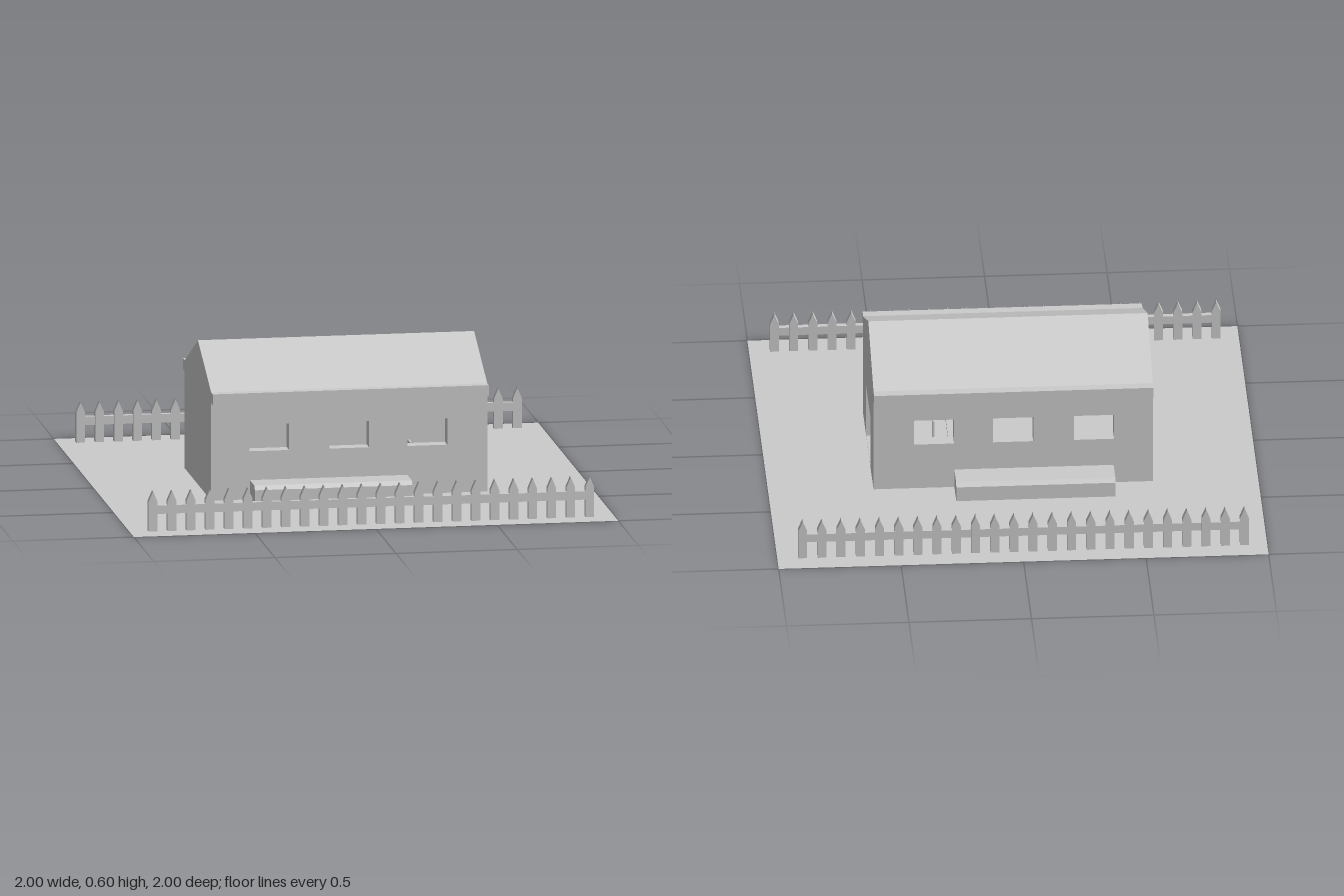
import * as THREE from 'three';

const material = new THREE.MeshStandardMaterial({ color: 0xcccccc, flatShading: true });
const thinMaterial = new THREE.MeshStandardMaterial({ color: 0xcccccc, side: THREE.DoubleSide });

function add(parent, name, geometry, x = 0, y = 0, z = 0, mat = material) {
  const mesh = new THREE.Mesh(geometry, mat);
  mesh.name = name;
  mesh.position.set(x, y, z);
  parent.add(mesh);
  return mesh;
}

// Box given by its extents along each axis
function box(parent, name, x0, x1, y0, y1, z0, z1) {
  return add(parent, name, new THREE.BoxGeometry(x1 - x0, y1 - y0, z1 - z0),
    (x0 + x1) / 2, (y0 + y1) / 2, (z0 + z1) / 2);
}

const polygon = (points) => new THREE.Shape(points.map(([x, y]) => new THREE.Vector2(x, y)));
const extrude = (shape, depth) => new THREE.ExtrudeGeometry(shape, { depth, bevelEnabled: false });

// Profile drawn in (z, y), extruded along x from x0 to x1
function alongX(parent, name, points, x0, x1) {
  const shape = polygon(points.map(([z, y]) => [-z, y]));
  const geometry = extrude(shape, x1 - x0).rotateY(Math.PI / 2);
  return add(parent, name, geometry, x0);
}

const L = 0.57, W = 0.33, T = 0.06, WALL_TOP = 0.405;

function createHouse() {
  const house = new THREE.Group();
  house.name = 'house';

  // Long walls, each with three window openings
  const wall = polygon([[-L, 0], [L, 0], [L, WALL_TOP], [-L, WALL_TOP]]);
  for (const x of [-0.33, 0, 0.323]) {
    const a = x - 0.082, b = x + 0.082;
    wall.holes.push(new THREE.Path([[a, 0.2], [a, 0.31], [b, 0.31], [b, 0.2]]
      .map(([u, v]) => new THREE.Vector2(u, v))));
  }
  add(house, 'frontWall', extrude(wall, T), 0, 0, W - T);
  add(house, 'backWall', extrude(wall, T), 0, 0, -W);

  // End walls: closed at one end, wide doorway at the other
  const inner = W - T, door = 0.137;
  box(house, 'closedEndWall', -L, -L + T, 0, WALL_TOP, -inner, inner);
  alongX(house, 'doorwayWall', [[-inner, 0], [-door, 0], [-door, 0.23], [door, 0.23],
    [door, 0], [inner, 0], [inner, WALL_TOP], [-inner, WALL_TOP]], L - T, L);

  // Gable roof with boxed eaves
  alongX(house, 'roof', [[-0.37, WALL_TOP], [0.37, WALL_TOP], [0.37, 0.45], [W, 0.45],
    [0, 0.6], [-W, 0.45], [-0.37, 0.45]], -L, L);

  // Low ledges with a chamfered outer edge
  for (const s of [1, -1]) {
    const ledge = [[W, 0], [0.455, 0], [0.455, 0.063], [0.442, 0.08], [W, 0.08]];
    alongX(house, s > 0 ? 'frontLedge' : 'backLedge', ledge.map(([z, y]) => [s * z, y]), -0.41, 0.24);
  }
  return house;
}

function createInterior() {
  const interior = new THREE.Group();
  interior.name = 'interior';
  box(interior, 'floor', -0.25, L, 0, 0.003, -0.27, 0.27).scale.z = 0.999;

  // Built-in bench at the closed end
  box(interior, 'benchSeat', -0.51, -0.25, 0, 0.065, -0.27, 0.27);
  box(interior, 'benchBack', -0.51, -0.45, 0.065, 0.155, -0.27, 0.27);

  // Table
  const table = new THREE.Group();
  table.name = 'table';
  table.position.x = 0.15;
  box(table, 'tableTop', -0.1, 0.1, 0.092, 0.102, -0.1, 0.1);
  for (const x of [-0.078, 0.078]) for (const z of [-0.078, 0.078])
    box(table, 'tableLeg', x - 0.005, x + 0.005, 0, 0.092, z - 0.005, z + 0.005);
  interior.add(table);

  // Chair facing the table
  const chair = new THREE.Group();
  chair.name = 'chair';
  chair.position.set(0.28, 0, -0.01);
  box(chair, 'chairSeat', -0.03, 0.03, 0.068, 0.076, -0.028, 0.028);
  box(chair, 'chairBack', 0.022, 0.03, 0.076, 0.15, -0.028, 0.028);
  for (const x of [-0.025, 0.025]) for (const z of [-0.023, 0.023])
    box(chair, 'chairLeg', x - 0.005, x + 0.005, 0, 0.068, z - 0.005, z + 0.005);
  interior.add(chair);
  return interior;
}

// Picket fence: pointed boards joined by one rail
function createFence(name, z) {
  const fence = new THREE.Group();
  fence.name = name;
  fence.position.z = z;
  const board = extrude(polygon([[-0.018, 0.003], [0.018, 0.003], [0.018, 0.128],
    [0, 0.17], [-0.018, 0.128]]), 0.028).translate(0, 0, -0.014);
  for (let i = 0; i < 24; i++) add(fence, 'picket', board, -0.907 + i * 0.0784);
  box(fence, 'rail', -0.925, 0.914, 0.075, 0.11, -0.011, 0.011);
  return fence;
}

export function createModel() {
  const model = new THREE.Group();
  model.name = 'fencedHouse';
  add(model, 'ground', new THREE.PlaneGeometry(2, 2).rotateX(-Math.PI / 2), 0, 0, 0, thinMaterial);
  model.add(createHouse(), createInterior(),
    createFence('frontFence', 0.905), createFence('backFence', -0.905));
  return model;
}
